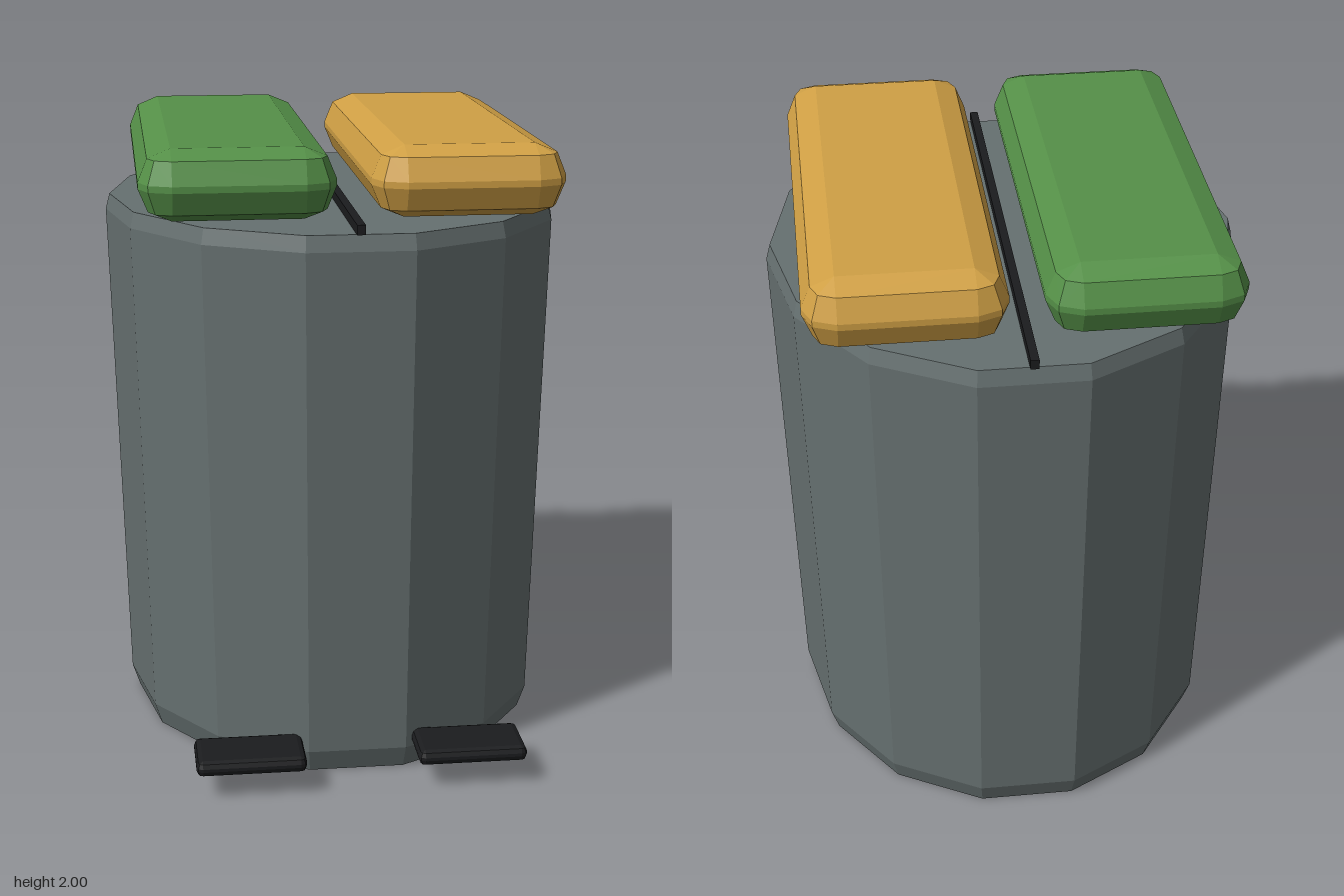
import * as THREE from 'three';
import { ConvexGeometry } from 'three/addons/geometries/ConvexGeometry.js';

const paint = (color) => new THREE.MeshStandardMaterial({ color, flatShading: true });
const CENTRE_Z = -0.055;

// Low-poly rounded block: hull of eight faceted sphere corners
function roundedBlock(w, h, d, r) {
  const points = [];
  for (const sx of [-1, 1]) for (const sy of [-1, 1]) for (const sz of [-1, 1]) {
    const corner = new THREE.Vector3(sx * (w / 2 - r), sy * (h / 2 - r), sz * (d / 2 - r));
    points.push(corner.clone().add(new THREE.Vector3(0, sy * r, 0)));
    for (const lift of [0, Math.PI / 4]) {
      for (const turn of [0, Math.PI / 4, Math.PI / 2]) {
        points.push(corner.clone().add(new THREE.Vector3(
          sx * r * Math.cos(lift) * Math.cos(turn),
          sy * r * Math.sin(lift),
          sz * r * Math.cos(lift) * Math.sin(turn))));
      }
    }
  }
  return new ConvexGeometry(points);
}

export function createModel() {
  const group = new THREE.Group();
  const black = paint(0x1b1c1e);

  const add = (name, geometry, material, x, y, z) => {
    const mesh = new THREE.Mesh(geometry, material);
    mesh.name = name;
    mesh.position.set(x, y, z);
    group.add(mesh);
    return mesh;
  };

  // Tapered 14-sided bin body, slightly oval
  const profile = [[0, 0], [0.68, 0], [0.705, 0.075], [0.748, 1.71], [0.735, 1.76], [0, 1.76]]
    .map(([x, y]) => new THREE.Vector2(x, y));
  const bodyGeometry = new THREE.LatheGeometry(profile, 14);
  bodyGeometry.rotateY(Math.PI / 2).scale(1, 1, 1.12);
  add('body', bodyGeometry, paint(0x667070), 0, 0, CENTRE_Z);

  // Divider strip across the top
  add('divider', new THREE.BoxGeometry(0.026, 0.03, 1.63), black, 0, 1.775, CENTRE_Z);

  // Two lids and the pedals below them
  const lidGeometry = roundedBlock(0.6, 0.22, 1.475, 0.1);
  const pedalGeometry = roundedBlock(0.346, 0.05, 0.2, 0.02);
  for (const [side, sign, color] of [['left', 1, 0xd0a045], ['right', -1, 0x559048]]) {
    add(side + 'Lid', lidGeometry, paint(color), sign * 0.352, 1.89, CENTRE_Z);
    add(side + 'Pedal', pedalGeometry, black, sign * 0.35, 0.105, 0.772);
  }
  return group;
}
